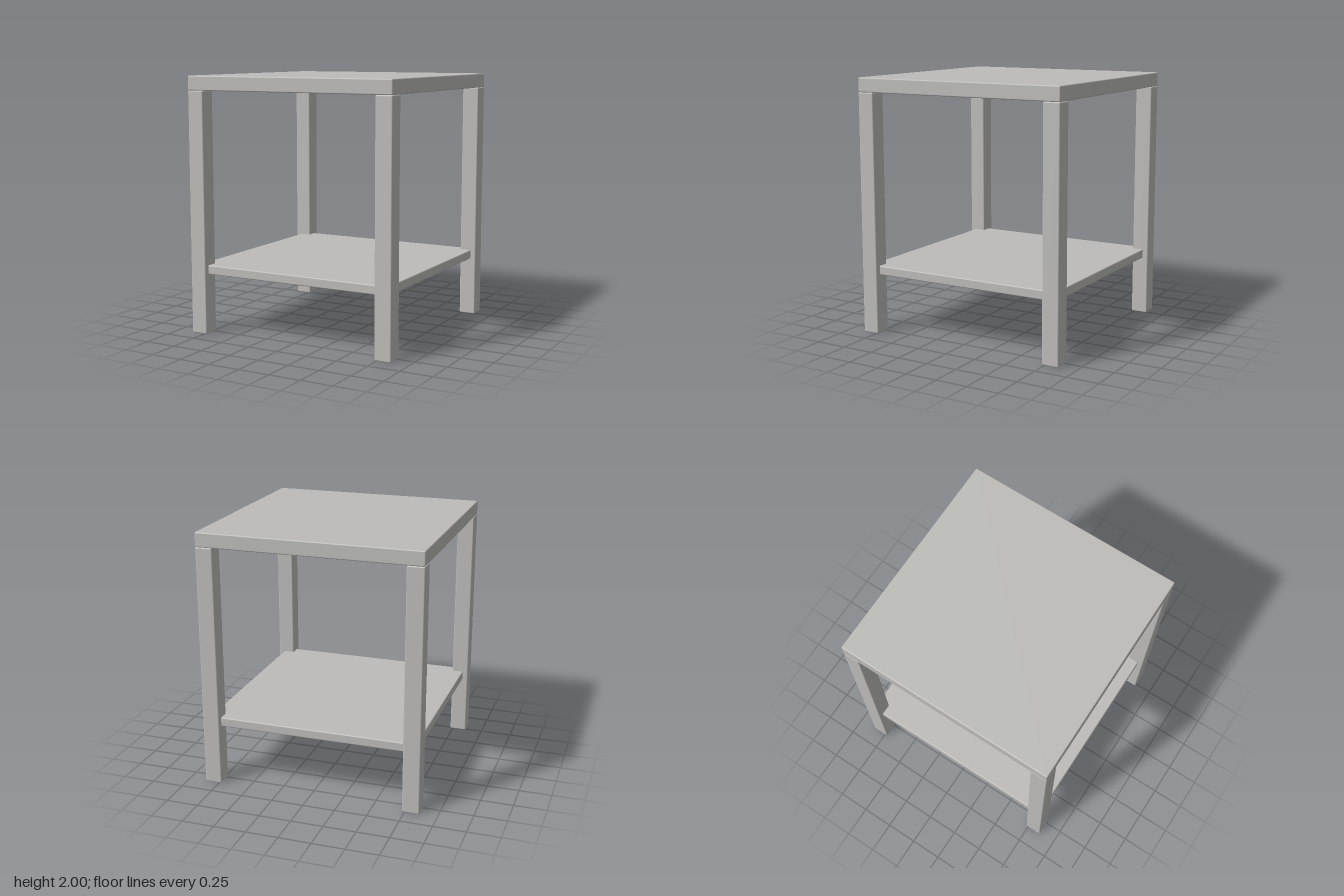
import * as THREE from 'three';
import { RoundedBoxGeometry } from 'three/addons/geometries/RoundedBoxGeometry.js';

const HALF = 0.863;       // half the width of the table
const LEG = 0.133;        // leg thickness
const LEG_TOP = 1.888;    // underside of the tabletop
const BEVEL = 0.009;

export function createModel() {
  const group = new THREE.Group();
  group.name = 'sideTable';

  const paint = new THREE.MeshStandardMaterial({ color: 0xbdbcb9 });
  paint.name = 'pale grey';

  // Softly bevelled board resting on height y
  function board(name, w, h, d, x, y, z) {
    const mesh = new THREE.Mesh(new RoundedBoxGeometry(w, h, d, 2, BEVEL), paint);
    mesh.name = name;
    mesh.position.set(x, y + h / 2, z);
    group.add(mesh);
  }

  // Tabletop, flush with the outside of the legs
  board('tabletop', HALF * 2, 2 - LEG_TOP, HALF * 2, 0, LEG_TOP, 0);

  // Lower shelf, its corners let into the legs
  board('shelf', 1.64, 0.072, 1.64, 0, 0.468, 0);

  // Four square legs
  const c = HALF - LEG / 2;
  for (const [sx, side] of [[1, 'Left'], [-1, 'Right']]) {
    for (const [sz, end] of [[1, 'front'], [-1, 'back']]) {
      board(`${end}${side}Leg`, LEG, LEG_TOP, LEG, sx * c, 0, sz * c);
    }
  }
  return group;
}
